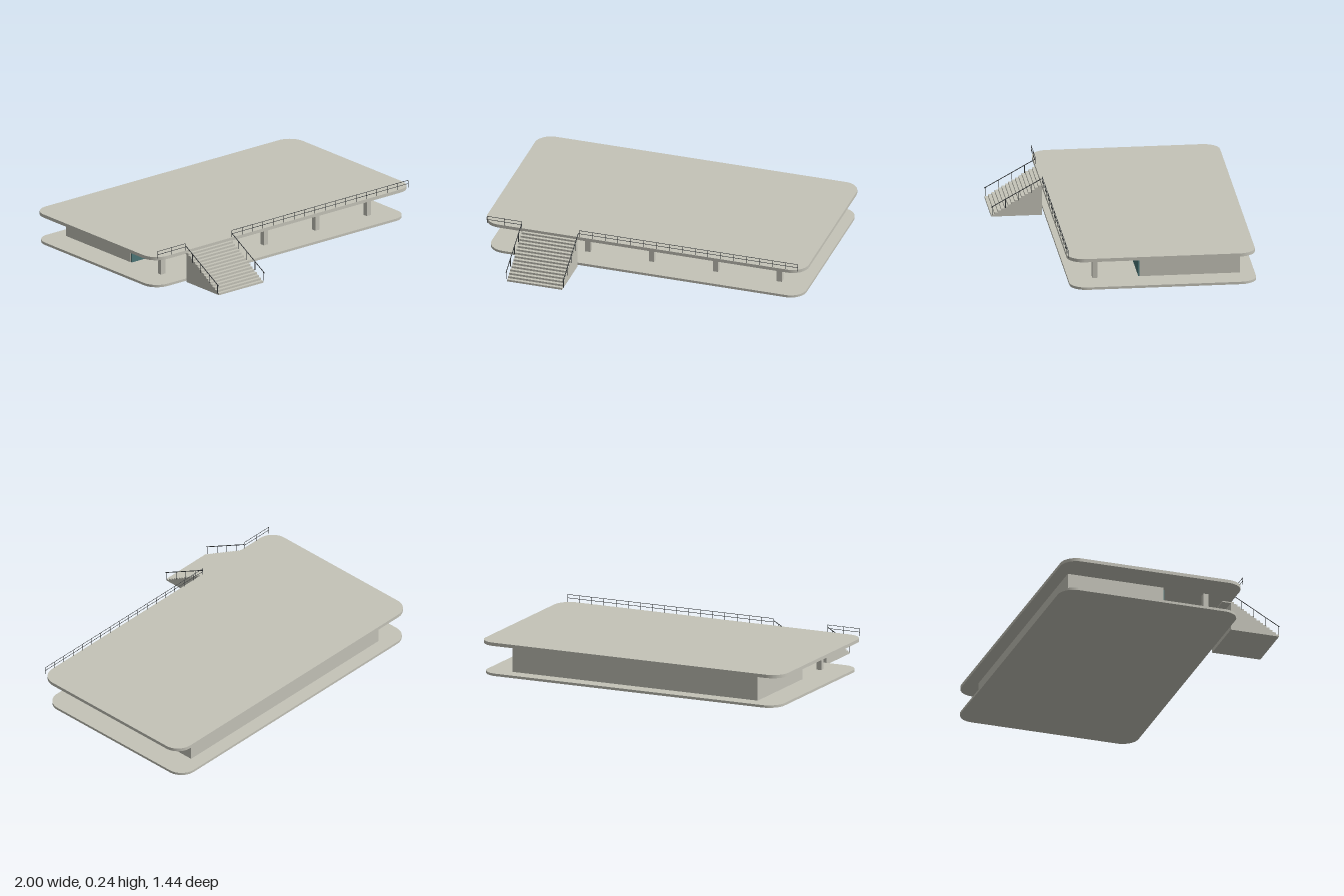
import * as THREE from 'three';

const concrete = new THREE.MeshStandardMaterial({ color: 0xc4c3b8 });
concrete.name = 'concrete';
const glass = new THREE.MeshStandardMaterial({ color: 0x4c7677 });
glass.name = 'tealGlass';
const metal = new THREE.MeshStandardMaterial({ color: 0x34383a });
metal.name = 'darkMetal';

export function createModel() {
  const model = new THREE.Group();
  model.name = 'pavilion';

  const group = (name) => {
    const g = new THREE.Group();
    g.name = name;
    model.add(g);
    return g;
  };

  // Box given by its min and max on each axis
  const box = (parent, name, material, [x0, x1], [y0, y1], [z0, z1]) => {
    const mesh = new THREE.Mesh(new THREE.BoxGeometry(x1 - x0, y1 - y0, z1 - z0), material);
    mesh.position.set((x0 + x1) / 2, (y0 + y1) / 2, (z0 + z1) / 2);
    mesh.name = name;
    parent.add(mesh);
  };

  // Thin round bar between two points
  const bar = (parent, name, a, b, radius = 0.0018) => {
    const from = new THREE.Vector3(...a);
    const dir = new THREE.Vector3(...b).sub(from);
    const mesh = new THREE.Mesh(new THREE.CylinderGeometry(radius, radius, dir.length(), 6), metal);
    mesh.position.copy(from).addScaledVector(dir, 0.5);
    mesh.quaternion.setFromUnitVectors(new THREE.Vector3(0, 1, 0), dir.normalize());
    mesh.name = name;
    parent.add(mesh);
  };

  // Rounded slab lying flat
  const slab = (name, halfX, zBack, zFront, y0, y1, r) => {
    const s = new THREE.Shape();
    const b = -zFront, t = -zBack;
    s.moveTo(-halfX + r, b);
    s.lineTo(halfX - r, b);
    s.absarc(halfX - r, b + r, r, -Math.PI / 2, 0, false);
    s.absarc(halfX - r, t - r, r, 0, Math.PI / 2, false);
    s.absarc(-halfX + r, t - r, r, Math.PI / 2, Math.PI, false);
    s.absarc(-halfX + r, b + r, r, Math.PI, Math.PI * 1.5, false);
    const geo = new THREE.ExtrudeGeometry(s, { depth: y1 - y0, bevelEnabled: false, curveSegments: 10 });
    geo.rotateX(-Math.PI / 2);
    const mesh = new THREE.Mesh(geo, concrete);
    mesh.position.y = y0;
    mesh.name = name;
    model.add(mesh);
  };

  slab('floorSlab', 0.98, -0.717, 0.396, 0, 0.015, 0.1);
  slab('roofSlab', 1, -0.707, 0.415, 0.18, 0.2, 0.1);

  // Enclosed room: back and side walls, header over the glazing
  const room = group('room');
  const wallY = [0.015, 0.18];
  box(room, 'backWall', concrete, [-0.81, 0.81], wallY, [-0.63, -0.615]);
  box(room, 'leftWall', concrete, [0.795, 0.81], wallY, [-0.615, -0.03]);
  box(room, 'rightWall', concrete, [-0.81, -0.795], wallY, [-0.615, -0.03]);
  box(room, 'header', concrete, [-0.795, 0.795], [0.167, 0.18], [-0.045, -0.031]);

  // Nine glass panes with slim mullions between them
  const glazing = group('glazing');
  for (let i = 0; i < 9; i++) {
    const x = -0.81 + i * 0.18;
    box(glazing, 'glassPane', glass, [x + 0.003, x + 0.177], [0.015, 0.167], [-0.031, -0.023]);
    if (i > 0) box(glazing, 'mullion', concrete, [x - 0.003, x + 0.003], [0.015, 0.167], [-0.031, -0.024]);
  }

  // Front columns
  const columns = group('columns');
  for (let i = -2; i <= 2; i++) {
    const x = i * 0.397;
    box(columns, 'column', concrete, [x - 0.016, x + 0.016], wallY, [0.22, 0.251]);
  }

  // Stair up to the roof, each step reaching the ground
  const stair = group('stair');
  const STEPS = 15, zTop = 0.413, zBottom = 0.715;
  const run = (zBottom - zTop) / STEPS, rise = 0.183 / STEPS;
  for (let i = 0; i < STEPS; i++) {
    const z = zBottom - i * run;
    box(stair, 'step', concrete, [-0.75, -0.408], [0, rise * (i + 1)], [z - run, z]);
  }
  box(stair, 'landingBeam', concrete, [-0.75, -0.408], [0.173, 0.18], [0.36, zTop]);

  // Stair handrails
  const stairRails = group('stairRails');
  const railY = (z) => 0.06 + (0.717 - z) * 0.556;
  for (const x of [-0.756, -0.402]) {
    bar(stairRails, 'handrail', [x, railY(0.717), 0.717], [x, railY(0.415), 0.415], 0.0025);
    for (const z of [0.707, 0.63, 0.553, 0.476]) {
      bar(stairRails, 'handrailPost', [x, railY(z) - 0.054, z], [x, railY(z), z]);
    }
  }

  // Roof edge railing on both sides of the stair opening
  const roofRails = group('roofRails');
  const railing = (x0, x1, bays) => {
    const z = 0.412;
    for (const y of [0.222, 0.243]) bar(roofRails, 'rail', [x0, y, z], [x1, y, z], 0.0015);
    for (let i = 0; i <= bays; i++) {
      const x = x0 + ((x1 - x0) * i) / bays;
      bar(roofRails, 'railPost', [x, 0.198, z], [x, 0.243, z], 0.0015);
    }
  };
  railing(-0.97, -0.757, 2);
  railing(-0.398, 0.962, 17);

  return model;
}
